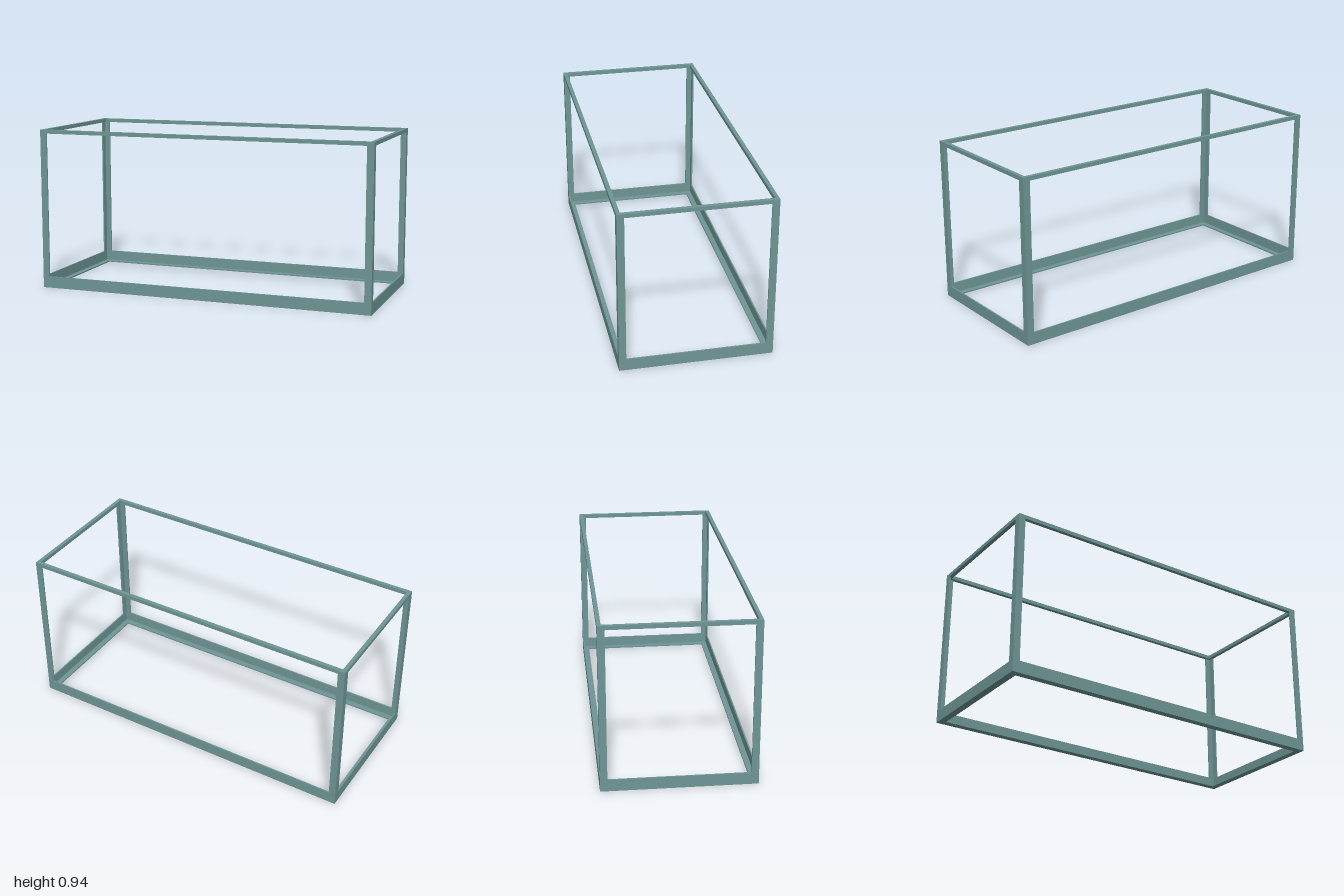
import * as THREE from 'three';

const X = 0.995, Z = 0.425;   // outer half extents
const BASE = 0.005, TOP = 0.945;
const LEG = 0.04, WALL = 0.008;

export function createModel() {
  const model = new THREE.Group();
  model.name = 'openFrame';
  const steel = new THREE.MeshStandardMaterial({ color: 0x6f9696 });
  steel.name = 'greenGreySteel';

  // L-shaped bar: corner at the origin, legs along +x and +y, length along z
  const angleBar = (a, b, length) => {
    const s = new THREE.Shape();
    s.moveTo(0, 0);
    s.lineTo(a, 0);
    s.lineTo(a, WALL);
    s.lineTo(WALL, WALL);
    s.lineTo(WALL, b);
    s.lineTo(0, b);
    s.closePath();
    const g = new THREE.ExtrudeGeometry(s, { depth: length, bevelEnabled: false });
    return g.translate(0, 0, -length / 2);
  };
  const add = (name, geometry, x, y, z, turn = 0) => {
    const mesh = new THREE.Mesh(geometry, steel);
    mesh.name = name;
    mesh.position.set(x, y, z);
    mesh.rotation.y = turn;
    model.add(mesh);
  };

  // Corner posts, with the open side of each angle facing inward
  const postHeight = TOP - BASE;
  const post = angleBar(LEG, LEG, postHeight).rotateX(-Math.PI / 2);
  const corners = [[-X, Z, 0], [X, Z, Math.PI / 2], [X, -Z, Math.PI], [-X, -Z, -Math.PI / 2]];
  for (const [x, z, turn] of corners) add('cornerPost', post, x, BASE + postHeight / 2, z, turn);

  // Base rails: tall outer web with a flat flange pointing inward
  const longBase = angleBar(LEG, 0.068, 2 * X);
  const shortBase = angleBar(LEG, 0.068, 2 * Z);
  add('leftBaseRail', shortBase, X, BASE, 0, Math.PI);
  add('rightBaseRail', shortBase, -X, BASE, 0, 0);
  add('frontBaseRail', longBase, 0, BASE, Z, Math.PI / 2);
  add('backBaseRail', longBase, 0, BASE, -Z, -Math.PI / 2);

  // Slim top rails
  const t = 0.022;
  const longTop = new THREE.BoxGeometry(2 * X, t, t);
  const shortTop = new THREE.BoxGeometry(t, t, 2 * (Z - t));
  for (const side of [-1, 1]) {
    add(side > 0 ? 'frontTopRail' : 'backTopRail', longTop, 0, TOP - t / 2, side * (Z - t / 2));
    add(side > 0 ? 'leftTopRail' : 'rightTopRail', shortTop, side * (X - t / 2), TOP - t / 2, 0);
  }
  return model;
}
